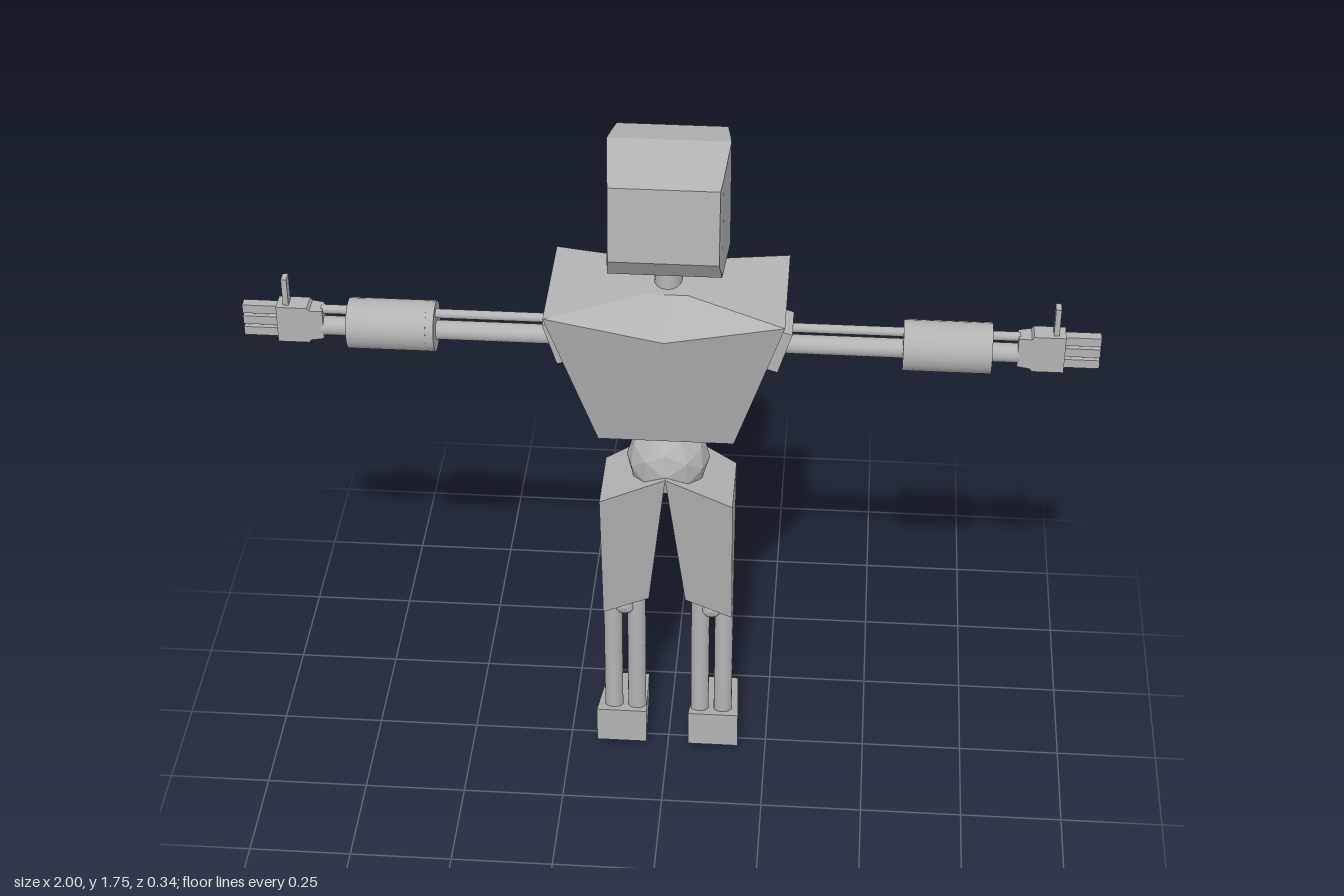
import * as THREE from 'three';

const gray = new THREE.MeshStandardMaterial({ color: 0xb3b3b3 });
gray.name = 'matte gray';

function add(parent, name, geometry, x = 0, y = 0, z = 0) {
  const mesh = new THREE.Mesh(geometry, gray);
  mesh.name = name;
  mesh.position.set(x, y, z);
  parent.add(mesh);
  return mesh;
}

// Faceted solid through rings of [x, y, z] points; winding is corrected by signed volume.
function loft(rings, capEnd = true) {
  const tris = [];
  const n = rings[0].length;
  const centre = r => [0, 1, 2].map(k => r.reduce((sum, p) => sum + p[k], 0) / n);
  const first = rings[0], last = rings[rings.length - 1];
  const c0 = centre(first), c1 = centre(last);
  for (let i = 0; i < n; i++) {
    const j = (i + 1) % n;
    for (let r = 0; r + 1 < rings.length; r++) {
      const a = rings[r], b = rings[r + 1];
      tris.push([a[i], a[j], b[j]], [a[i], b[j], b[i]]);
    }
    tris.push([c0, first[j], first[i]]);
    if (capEnd) tris.push([c1, last[i], last[j]]);
  }
  const v = p => new THREE.Vector3(...p).sub(new THREE.Vector3(...c0));
  const volume = tris.reduce((sum, [a, b, c]) => sum + v(a).dot(v(b).cross(v(c))), 0);
  if (volume < 0) tris.forEach(t => t.reverse());
  const geo = new THREE.BufferGeometry();
  geo.setAttribute('position', new THREE.Float32BufferAttribute(tris.flat(2), 3));
  geo.computeVertexNormals();
  return geo;
}

const box = (w, h, d) => new THREE.BoxGeometry(w, h, d);
const rodY = (r, len) => new THREE.CylinderGeometry(r, r, len, 20);
const rodX = (r, len) => rodY(r, len).rotateZ(Math.PI / 2);
const rodZ = (r, len) => new THREE.CylinderGeometry(r, r, len, 32).rotateX(Math.PI / 2);

// Loop of eight points: corners and edge middles of a rectangle.
function ring8(w, zBack, zFront, yCorner, yMid) {
  const zm = (zBack + zFront) / 2;
  return [[w, yCorner, zBack], [w, yCorner, zm], [w, yCorner, zFront], [0, yMid, zFront],
    [-w, yCorner, zFront], [-w, yCorner, zm], [-w, yCorner, zBack], [0, yMid, zBack]];
}

function buildHead(model) {
  const head = new THREE.Group();
  head.name = 'head';
  model.add(head);
  const ring = (w, zTop, yTop, zBot, yBot) =>
    [[-w, yTop, zTop], [w, yTop, zTop], [w, yBot, zBot], [-w, yBot, zBot]];
  add(head, 'headShell', loft([
    ring(0.125, 0.153, 1.715, 0.17, 1.535),
    ring(0.13, 0.11, 1.724, 0.135, 1.483),
    ring(0.14, -0.01, 1.75, -0.02, 1.48),
    ring(0.135, -0.055, 1.742, -0.055, 1.46),
    ring(0.127, -0.115, 1.73, -0.115, 1.485),
  ], false));

  // Face plate with two rectangular eye sockets
  const rect = (path, x0, y0, x1, y1) =>
    path.moveTo(x0, y0).lineTo(x1, y0).lineTo(x1, y1).lineTo(x0, y1).closePath();
  const face = rect(new THREE.Shape(), -0.127, 1.485, 0.127, 1.73);
  face.holes.push(rect(new THREE.Path(), 0.014, 1.58, 0.095, 1.705));
  face.holes.push(rect(new THREE.Path(), -0.095, 1.58, -0.014, 1.705));
  add(head, 'facePlate', new THREE.ExtrudeGeometry(face, { depth: 0.04, bevelEnabled: false }), 0, 0, -0.115);
  add(head, 'eyeSocketFloor', box(0.22, 0.17, 0.01), 0, 1.64, -0.07);

  const neck = new THREE.CylinderGeometry(0.026, 0.034, 0.13, 16).scale(1, 1, 1.4);
  add(model, 'neck', neck, 0, 1.44, 0.012);
}

function buildTorso(model) {
  add(model, 'torso', loft([
    ring8(0.16, 0.097, -0.075, 1.0, 1.0),
    ring8(0.275, 0.168, -0.148, 1.375, 1.322),
    ring8(0.05, 0.08, -0.07, 1.397, 1.397),
  ]));
  add(model, 'chestDisc', rodZ(0.095, 0.085), 0, 1.155, -0.103);
  const pelvis = new THREE.IcosahedronGeometry(0.1, 1);
  pelvis.computeVertexNormals();
  add(model, 'pelvisBall', pelvis, 0, 0.9, 0.012);
}

function buildArm(model, s) {
  const arm = new THREE.Group();
  arm.name = s > 0 ? 'leftArm' : 'rightArm';
  model.add(arm);
  const z = 0.008;
  add(arm, 'shoulderSocket', box(0.06, 0.11, 0.1), s * 0.245, 1.245, 0.012).rotation.z = -s * 0.3;
  add(arm, 'armRod', rodX(0.023, 0.57), s * 0.53, 1.23, z);
  add(arm, 'armPiston', rodX(0.011, 0.57), s * 0.53, 1.275, z);

  // Forearm sleeve; the right one has a flat panel cut into its front
  if (s > 0) {
    add(arm, 'forearm', rodX(0.06, 0.205), 0.648, 1.24, z);
  } else {
    add(arm, 'forearmOuterBand', rodX(0.06, 0.037), -0.732, 1.24, z);
    add(arm, 'forearmInnerBand', rodX(0.06, 0.02), -0.555, 1.24, z);
    const cut = Math.acos(0.038 / 0.06);
    const section = new THREE.Shape().absarc(0, 0, 0.06, cut, 2 * Math.PI - cut, false);
    const sleeve = new THREE.ExtrudeGeometry(section, { depth: 0.15, bevelEnabled: false, curveSegments: 28 });
    add(arm, 'forearmPanel', sleeve.rotateY(Math.PI / 2), -0.714, 1.24, z);
  }

  // Hand, tapering to the wrist, with three fingers and a thumb
  const slice = (x, h, d) => [[s * x, 1.243 - h, z - d], [s * x, 1.243 + h, z - d],
    [s * x, 1.243 + h, z + d], [s * x, 1.243 - h, z + d]];
  add(arm, 'palm', loft([slice(0.81, 0.038, 0.02), slice(0.84, 0.04, 0.025),
    slice(0.845, 0.047, 0.025), slice(0.918, 0.047, 0.025)]));
  for (let i = -1; i <= 1; i++) {
    add(arm, 'finger', box(0.09, 0.022, 0.025), s * 0.955, 1.244 + i * 0.03, z);
  }
  add(arm, 'thumb', box(0.013, 0.08, 0.028), s * 0.896, 1.32, z);
}

function buildLeg(model, s) {
  const leg = new THREE.Group();
  leg.name = s > 0 ? 'leftLeg' : 'rightLeg';
  model.add(leg);

  // Thigh slants up to the middle of the body
  add(leg, 'thigh', loft([
    [[0, 0.903, 0.122], [s * 0.16, 0.815, 0.1], [s * 0.16, 0.815, -0.083], [0, 0.903, -0.102]],
    [[s * 0.045, 0.495, 0.06], [s * 0.16, 0.435, 0.047], [s * 0.16, 0.435, -0.025], [s * 0.045, 0.495, -0.04]],
  ]));
  const knee = new THREE.IcosahedronGeometry(0.032, 1);
  knee.computeVertexNormals();
  add(leg, 'knee', knee, s * 0.108, 0.445, 0.012);
  for (const x of [0.08, 0.139]) add(leg, 'shinRod', rodY(0.023, 0.39), s * x, 0.28, 0.012);

  // Wedge foot
  const section = (z, x0, x1, y0, y1) =>
    [[s * x0, y0, z], [s * x1, y0, z], [s * x1, y1, z], [s * x0, y1, z]];
  add(leg, 'foot', loft([section(0.055, 0.053, 0.18, 0.022, 0.122),
    section(-0.168, 0.063, 0.17, 0, 0.06)]));
}

export function createModel() {
  const model = new THREE.Group();
  model.name = 'robot';
  buildHead(model);
  buildTorso(model);
  for (const s of [1, -1]) {
    buildArm(model, s);
    buildLeg(model, s);
  }
  return model;
}
